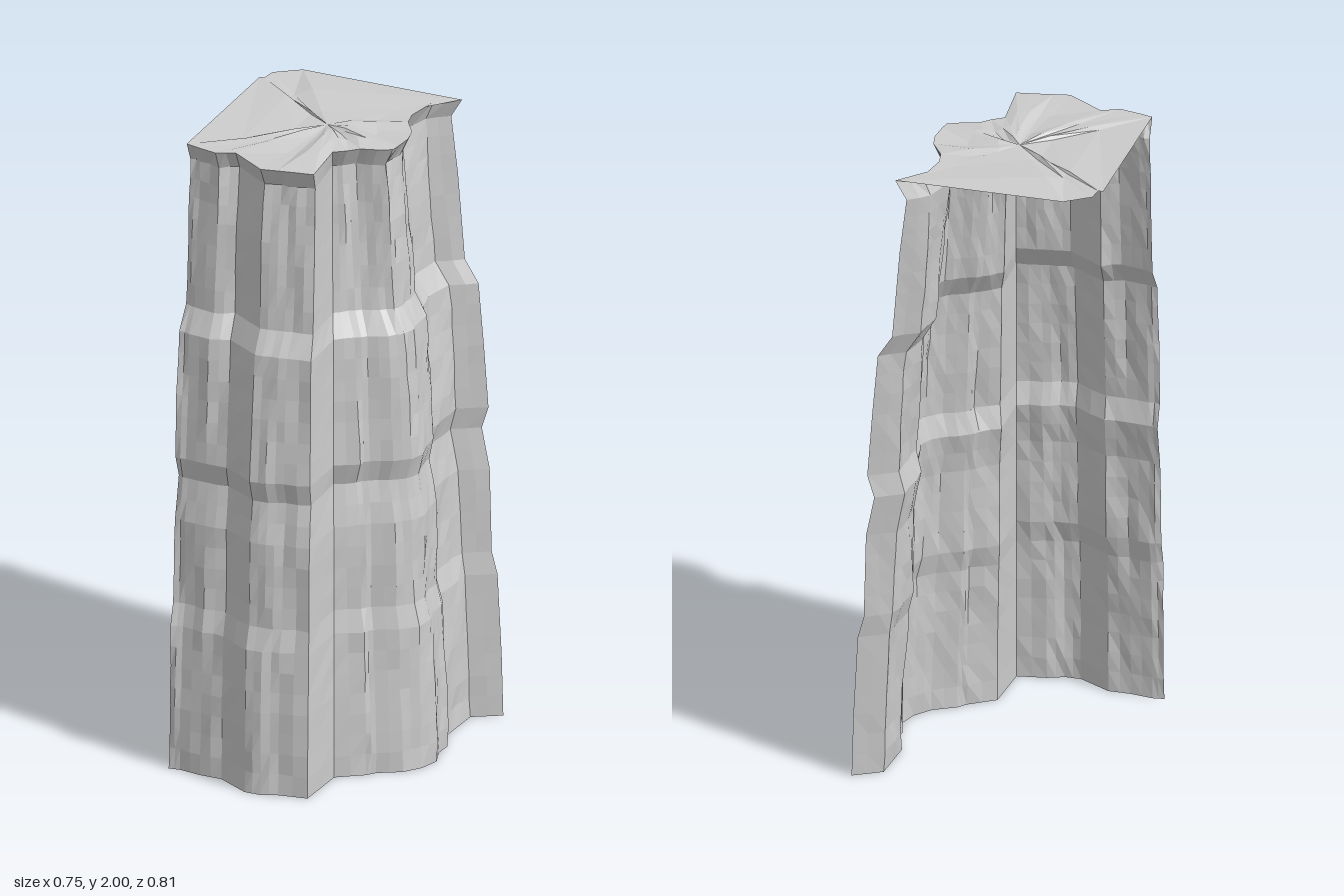
import * as THREE from 'three';

// Plan outline [x, z] of the cliff at its foot and at its upper rim, point for point
const FOOT = [[-0.375, 0.345], [-0.34, 0.34], [-0.27, 0.35], [-0.2, 0.35], [-0.1, 0.405], [-0.05, 0.405],
  [0, 0.385], [0.09, 0.37], [0.1, 0.2], [0.18, 0.145], [0.2, 0.12], [0.27, 0.08], [0.31, 0.03],
  [0.33, -0.03], [0.31, -0.09], [0.315, -0.14], [0.28, -0.2], [0.285, -0.28], [0.29, -0.36], [0.375, -0.41]];
const RIM = [[-0.375, 0.215], [-0.34, 0.225], [-0.27, 0.24], [-0.215, 0.215], [-0.1, 0.29], [-0.05, 0.28],
  [0, 0.27], [0.06, 0.26], [0.045, 0.09], [0.08, 0.065], [0.11, 0.035], [0.16, 0.02], [0.2, 0],
  [0.205, -0.03], [0.21, -0.09], [0.2, -0.14], [0.16, -0.2], [0.15, -0.25], [0.17, -0.36], [0.24, -0.41]];
// Remaining edge of the cap along the open back
const BACK = [[-0.28, -0.41], [-0.355, -0.355], [-0.36, -0.31], [-0.375, -0.31]];
// Height against blend from foot outline (0) to rim outline (1), with ledges
const PROFILE = [[0, 0], [0.2, 0.04], [0.46, 0.14], [0.53, 0.28], [0.8, 0.33], [0.93, 0.52], [1, 0.36],
  [1.2, 0.47], [1.4, 0.6], [1.47, 0.93], [1.75, 1.1], [1.93, 1.26], [1.99, 1]];

const mix = (a, b, t) => a + (b - a) * t;

function makeRandom(seed) {
  return () => {
    seed = (seed * 16807) % 2147483647;
    return seed / 2147483647;
  };
}

// Triangles from a grid of points
function gridGeometry(rows) {
  const cols = rows[0].length;
  const index = [];
  for (let r = 0; r < rows.length - 1; r++) {
    for (let c = 0; c < cols - 1; c++) {
      const a = r * cols + c, b = a + 1, d = a + cols, e = d + 1;
      index.push(a, b, e, a, e, d);
    }
  }
  const g = new THREE.BufferGeometry();
  g.setAttribute('position', new THREE.Float32BufferAttribute(rows.flat(2), 3));
  g.setIndex(index);
  g.computeVertexNormals();
  return g;
}

function wallGeometry() {
  const random = makeRandom(71);
  // Split each profile step into short courses
  const courses = [];
  for (let i = 0; i < PROFILE.length - 1; i++) {
    const [y0, t0] = PROFILE[i], [y1, t1] = PROFILE[i + 1];
    const n = Math.max(1, Math.round((y1 - y0) / 0.07));
    for (let k = 0; k < n; k++) courses.push([mix(y0, y1, k / n), mix(t0, t1, k / n)]);
  }
  courses.push(PROFILE[PROFILE.length - 1]);

  // Split each outline edge into two columns; each column has its own slow wobble
  const columns = [];
  for (let i = 0; i < FOOT.length; i++) {
    for (const f of i < FOOT.length - 1 ? [0, 0.5] : [0]) {
      const j = Math.min(i + 1, FOOT.length - 1);
      columns.push({
        foot: [0, 1].map((k) => mix(FOOT[i][k], FOOT[j][k], f)),
        rim: [0, 1].map((k) => mix(RIM[i][k], RIM[j][k], f)),
        phase: random() * 6.28,
      });
    }
  }
  return gridGeometry(courses.map(([y, t], r) => columns.map(({ foot, rim, phase }, c) => {
    const fixed = r === 0 || r === courses.length - 1 || c === columns.length - 1;
    const wobble = fixed ? 0 : 0.035 * Math.sin(y * 9 + phase) + 0.05 * (random() - 0.5);
    return [mix(foot[0], rim[0], t + wobble), y, mix(foot[1], rim[1], t + wobble)];
  })));
}

// Nearly flat cap, creased in a fan around an off-centre point
function capGeometry() {
  const random = makeRandom(19);
  const edge = [...RIM, ...BACK, RIM[0]];
  const centre = [-0.05, -0.08];
  const rings = [1, 0.6, 0.25, 0].map((s) => edge.map(([x, z]) => {
    const y = s === 1 ? 1.99 : s === 0 ? 1.992 : 1.984 + 0.016 * random();
    return [mix(centre[0], x, s), y, mix(centre[1], z, s)];
  }));
  // Close the seam of each ring
  for (const ring of rings) ring[ring.length - 1] = [...ring[0]];
  return gridGeometry(rings);
}

export function createModel() {
  const rock = new THREE.MeshStandardMaterial({ color: 0xcccccc, flatShading: true, side: THREE.DoubleSide });
  rock.name = 'grey rock';

  const group = new THREE.Group();
  group.name = 'cliffCorner';
  const add = (name, geometry) => {
    const mesh = new THREE.Mesh(geometry, rock);
    mesh.name = name;
    group.add(mesh);
  };
  add('cliffWall', wallGeometry());
  add('cliffTop', capGeometry());
  return group;
}
